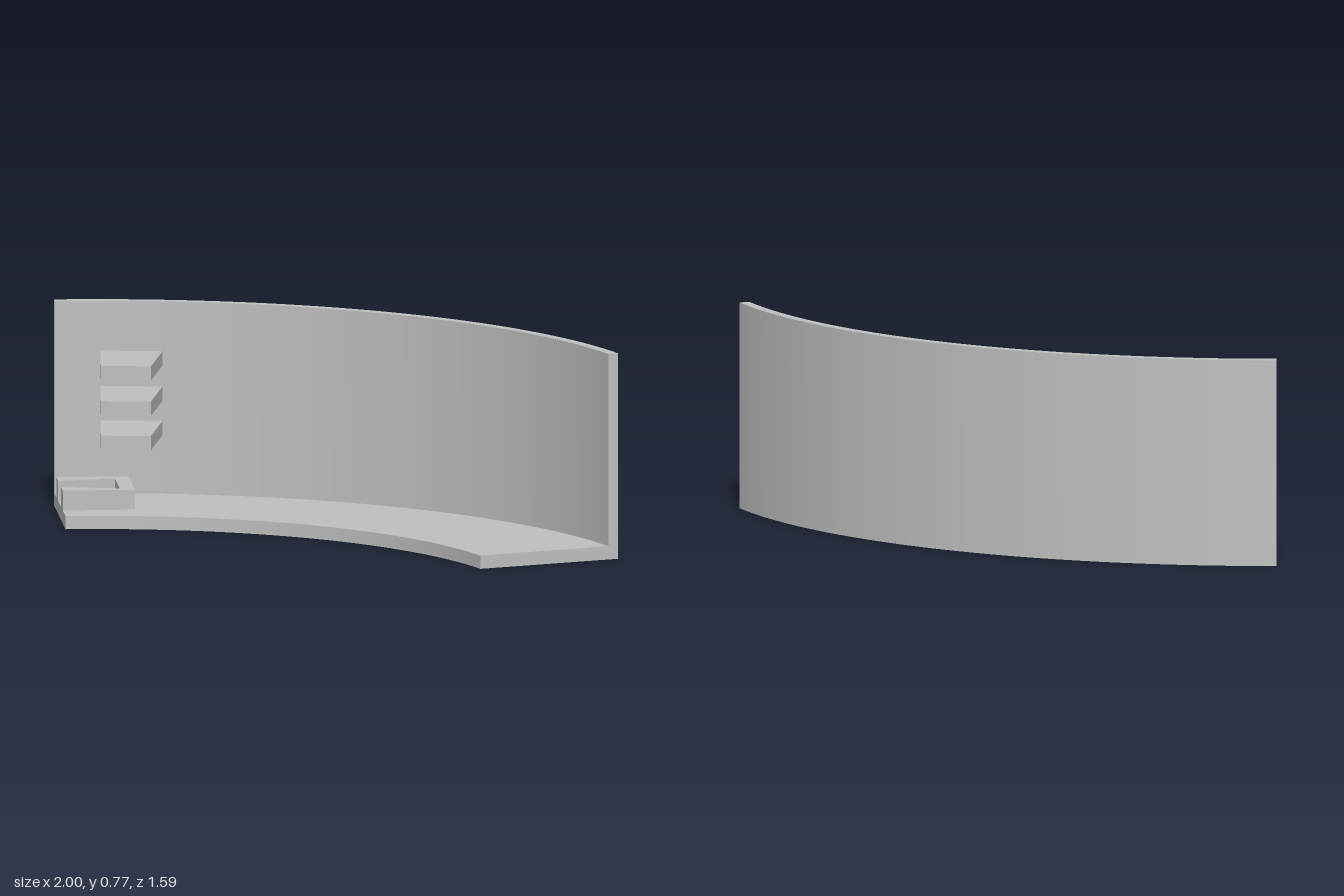
import * as THREE from 'three';
import { toCreasedNormals } from 'three/addons/utils/BufferGeometryUtils.js';

export function createModel() {
  const model = new THREE.Group();
  const grey = new THREE.MeshStandardMaterial({ color: 0xbfbfbf });
  grey.name = 'grey';

  // Arc centre and sweep shared by floor and wall
  const cx = -1, cz = 1.331;
  const start = THREE.MathUtils.degToRad(20), end = Math.PI / 2;

  // Raise a plan shape (x, -z) from y0 to y1
  function addSlab(name, shape, y0, y1) {
    const extruded = new THREE.ExtrudeGeometry(shape, { depth: y1 - y0, bevelEnabled: false, curveSegments: 64 });
    extruded.rotateX(-Math.PI / 2).translate(0, y0, 0);
    const mesh = new THREE.Mesh(toCreasedNormals(extruded, 0.4), grey);
    mesh.name = name;
    model.add(mesh);
  }

  function ringSector(inner, outer) {
    const shape = new THREE.Shape();
    shape.absarc(cx, -cz, outer, start, end, false);
    shape.absarc(cx, -cz, inner, end, start, true);
    shape.closePath();
    return shape;
  }

  const polygon = (points) => new THREE.Shape(points.map(([x, z]) => new THREE.Vector2(x, -z)));

  // Curved floor and the tall wall along its outer edge
  addSlab('floor', ringSector(1.564, 2.088), 0, 0.05);
  addSlab('curvedWall', ringSector(2.088, 2.128), 0, 0.775);

  // Three shelves fixed to the wall
  const shelf = polygon([[-0.855, -0.4], [-0.67, -0.375], [-0.598, -0.73], [-0.828, -0.765]]);
  [0.27, 0.4, 0.533].forEach((y, i) => addSlab('shelf' + (i + 1), shelf, y, y + 0.054));

  // Low counter with a flared recess open at the cut end
  addSlab('counter', polygon([
    [-1, -0.36], [-0.73, -0.36], [-0.73, -0.67], [-1, -0.67],
    [-1, -0.58], [-0.785, -0.623], [-0.785, -0.396], [-1, -0.445],
  ]), 0.05, 0.125);

  return model;
}
